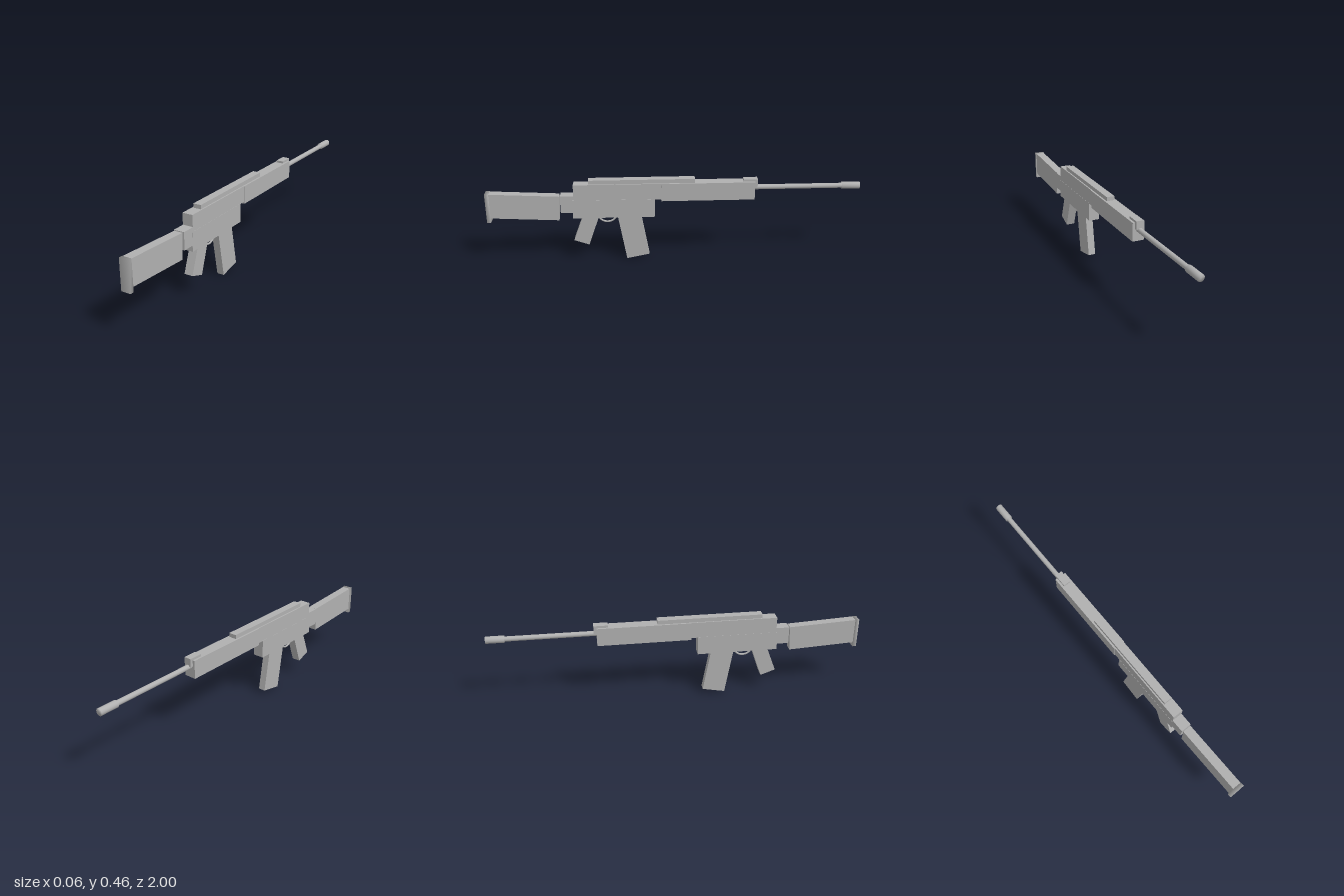
import * as THREE from 'three';
import { mergeVertices } from 'three/addons/utils/BufferGeometryUtils.js';

export function createModel() {
  const model = new THREE.Group();
  model.name = 'rifle';
  const grey = new THREE.MeshStandardMaterial({ color: 0xb0b0b0 });
  grey.name = 'matte grey';

  const add = (name, geometry) => {
    const mesh = new THREE.Mesh(geometry, grey);
    mesh.name = name;
    model.add(mesh);
    return mesh;
  };

  // Upright block from half width and y, z ranges
  const block = (name, half, y0, y1, z0, z1) =>
    add(name, new THREE.BoxGeometry(half * 2, y1 - y0, z1 - z0)
      .translate(0, (y0 + y1) / 2, (z0 + z1) / 2));

  // Side profile of [z, y] points, extruded across x
  const slab = (name, half, points) => {
    const shape = new THREE.Shape(points.map(([z, y]) => new THREE.Vector2(-z, y)));
    const geometry = new THREE.ExtrudeGeometry(shape, { depth: half * 2, bevelEnabled: false });
    return add(name, geometry.translate(0, 0, -half).rotateY(Math.PI / 2));
  };

  // Share corner normals so the shading runs softly around edges
  const soften = (geometry) => {
    geometry.deleteAttribute('normal');
    geometry.deleteAttribute('uv');
    const merged = mergeVertices(geometry);
    merged.computeVertexNormals();
    return merged;
  };

  // Cylinder lying along z on the bore line
  const rod = (radius, z0, z1) =>
    new THREE.CylinderGeometry(radius, radius, z1 - z0, 24)
      .rotateX(Math.PI / 2).translate(0, 0.4, (z0 + z1) / 2);

  // Receiver and handguard
  block('upperReceiver', 0.029, 0.35, 0.438, 0.06, 0.535);
  block('lowerReceiver', 0.03, 0.25, 0.352, 0.105, 0.542);
  block('handguard', 0.032, 0.34, 0.438, -0.43, 0.07);
  block('topRail', 0.022, 0.436, 0.46, -0.11, 0.455);
  block('frontSight', 0.02, 0.405, 0.45, -0.445, -0.37);

  // Stock
  block('stockConnector', 0.029, 0.282, 0.376, 0.53, 0.606);
  slab('stock', 0.024, [[0.985, 0.393], [0.985, 0.257], [0.617, 0.238], [0.611, 0.374]]);
  add('buttPad', soften(new THREE.BoxGeometry(0.052, 0.162, 0.021)).translate(0, 0.313, 0.9895));

  // Pistol grip and magazine
  slab('grip', 0.024, [[0.482, 0.28], [0.543, 0.118], [0.463, 0.09], [0.396, 0.28]]);
  slab('magazine', 0.02, [[0.309, 0.28], [0.26, 0], [0.138, 0.024], [0.184, 0.28]]);

  // Trigger guard, a half ring hanging below the receiver
  add('triggerGuard', new THREE.TorusGeometry(0.052, 0.005, 10, 24, Math.PI)
    .rotateZ(Math.PI).rotateY(Math.PI / 2).translate(0, 0.268, 0.36));

  // Barrel and muzzle
  add('barrel', rod(0.0135, -0.93, -0.42));
  add('muzzle', soften(rod(0.019, -1, -0.903)));

  return model;
}
